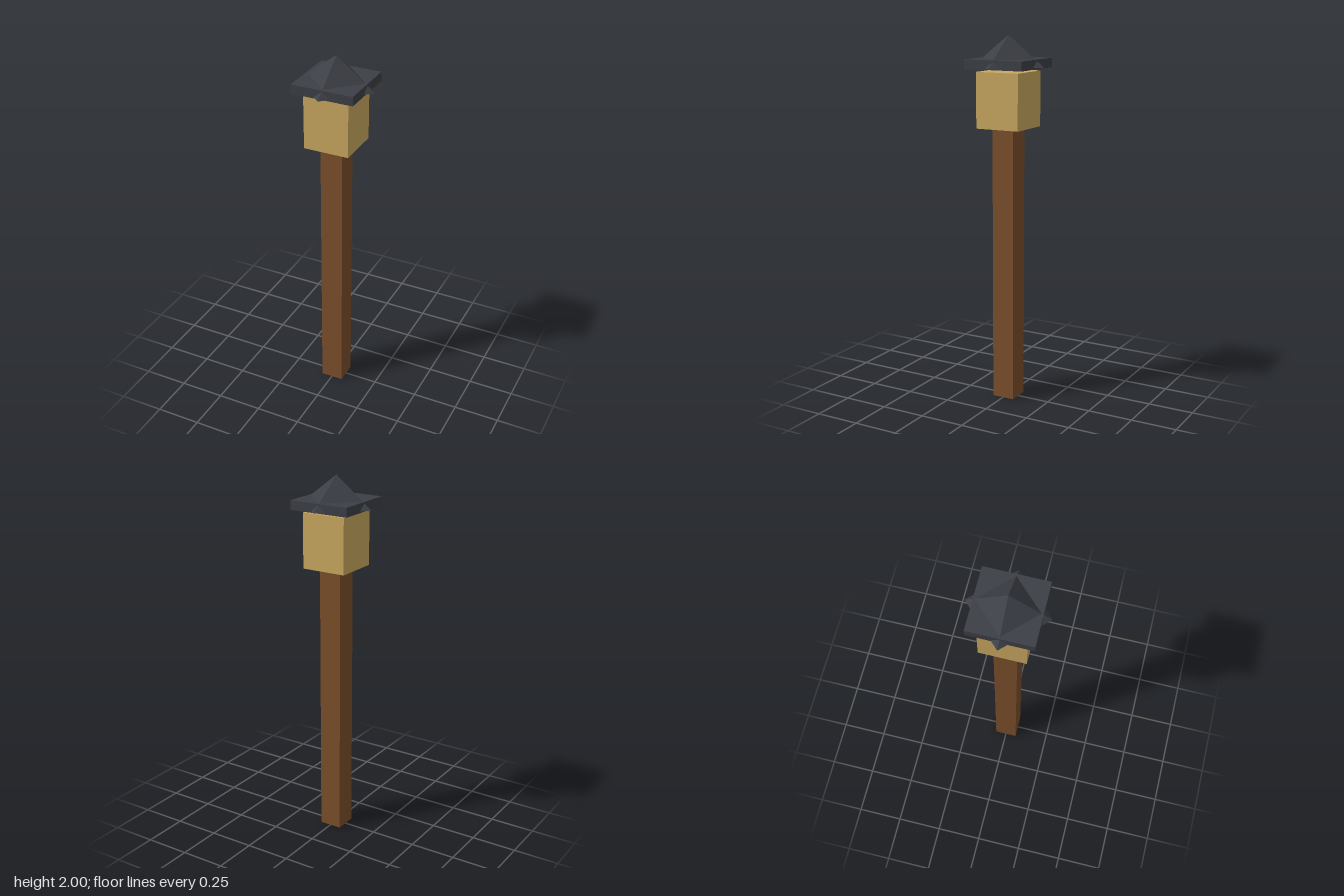
import * as THREE from 'three';

const material = (name, color) => {
  const m = new THREE.MeshStandardMaterial({ color, flatShading: true });
  m.name = name;
  return m;
};

export function createModel() {
  const group = new THREE.Group();
  group.name = 'lampPost';
  const wood = material('brown wood', 0x7b4f2b);
  const glow = material('warm lamp', 0xc9a860);
  const slate = material('dark slate', 0x3c3f46);

  const add = (name, geometry, mat, y) => {
    const mesh = new THREE.Mesh(geometry, mat);
    mesh.name = name;
    mesh.position.y = y;
    group.add(mesh);
  };
  // Square block between two heights
  const block = (name, width, bottom, top, mat) =>
    add(name, new THREE.BoxGeometry(width, top - bottom, width), mat, (bottom + top) / 2);

  block('post', 0.125, 0, 1.513, wood);
  block('lampBox', 0.25, 1.513, 1.811, glow);

  // Square eave floating just above the lamp
  block('roofEave', 0.34, 1.827, 1.877, slate);

  // Pyramid cap turned 45 degrees, its corners poking through the eave sides
  const base = 1.836;
  add('roofCap', new THREE.ConeGeometry(0.2125, 2 - base, 4), slate, (2 + base) / 2);

  return group;
}
